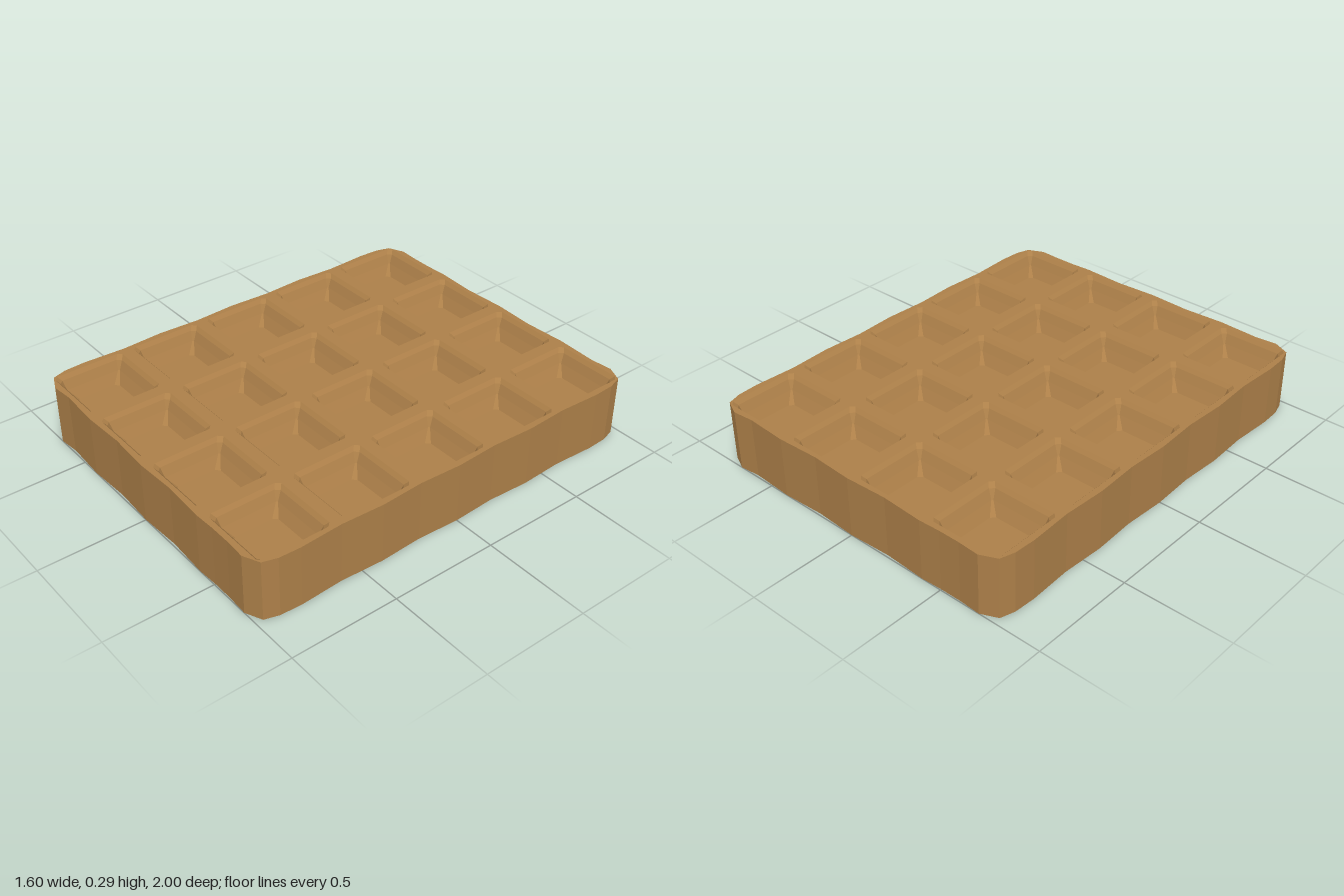
import * as THREE from 'three';
import { mergeGeometries } from 'three/addons/utils/BufferGeometryUtils.js';

const H = 0.286;

// Faceted skin between successive rings of [x, z] points, each ring at its own height
function loft(rings) {
  const pos = [];
  const put = (r, i) => {
    const p = r.pts[i % r.pts.length];
    pos.push(p.x, r.y, -p.y);
  };
  for (let k = 0; k < rings.length - 1; k++) {
    const a = rings[k], b = rings[k + 1];
    for (let i = 0; i < a.pts.length; i++) {
      put(a, i); put(a, i + 1); put(b, i + 1);
      put(a, i); put(b, i + 1); put(b, i);
    }
  }
  const g = new THREE.BufferGeometry();
  g.setAttribute('position', new THREE.Float32BufferAttribute(pos, 3));
  g.computeVertexNormals();
  return g;
}

// Horizontal face looking up
function cap(shape, y) {
  const g = new THREE.ShapeGeometry(shape).toNonIndexed();
  g.deleteAttribute('uv');
  return g.rotateX(-Math.PI / 2).translate(0, y, 0);
}

// Square ring with cut corners
function pocketRing(cx, cz, half, cut) {
  const s = half - cut;
  return [[half, -s], [half, s], [s, half], [-s, half], [-half, s], [-half, -s], [-s, -half], [s, -half]]
    .map(([x, z]) => new THREE.Vector2(cx + x, cz + z));
}

// Gently wavy outline with chamfered corners, counter-clockwise
function outline() {
  const pts = [];
  const add = (x, z) => pts.push(new THREE.Vector2(x, z));
  const wave = (t) => 0.005 * Math.cos(t * Math.PI * 5) - 0.005;
  const side = (n, max, place) => {
    for (let i = 0; i <= n; i++) place(-max + (2 * max * i) / n);
  };
  side(18, 0.9, (t) => add(0.8 + wave(t), t));
  add(0.775, 0.966);
  side(14, 0.7, (t) => add(-t, 1 + wave(t + 0.1 * Math.sign(t) * (Math.abs(t) > 0.6 ? 1 : 0))));
  add(-0.775, 0.966);
  side(18, 0.9, (t) => add(-0.8 - wave(t), -t));
  add(-0.775, -0.966);
  side(14, 0.7, (t) => add(t, -1 - wave(t + 0.1 * Math.sign(t) * (Math.abs(t) > 0.6 ? 1 : 0))));
  add(0.775, -0.966);
  return pts;
}

export function createModel() {
  const model = new THREE.Group();
  model.name = 'waffle';
  const crust = new THREE.MeshStandardMaterial({ color: 0xad8049 });
  crust.name = 'golden crust';

  const rim = outline();
  const edge = new THREE.Mesh(loft([{ pts: rim, y: 0 }, { pts: rim, y: H }]), crust);
  edge.name = 'outerEdge';
  model.add(edge);

  // Pocket section: half width, corner cut, depth
  const section = [[0.17, 0.018, 0], [0.155, 0.018, 0.018], [0.135, 0.006, 0.06], [0.107, 0.018, 0.11]];
  const face = new THREE.Shape(rim);
  const pockets = [];
  for (let i = 0; i < 4; i++) {
    for (let j = 0; j < 5; j++) {
      const cx = -0.6 + i * 0.4, cz = -0.8 + j * 0.4;
      const rings = section.map(([half, cut, depth]) => ({
        pts: pocketRing(cx, cz, half, cut), y: H / 2 - depth,
      }));
      face.holes.push(new THREE.Path(rings[0].pts));
      const floor = rings[rings.length - 1];
      pockets.push(loft(rings), cap(new THREE.Shape(floor.pts), floor.y));
    }
  }
  const gridGeometry = cap(face, H / 2);
  const pocketGeometry = mergeGeometries(pockets);

  // The same ribbed face on the top and, turned over, on the underside
  for (const [name, turn] of [['topFace', 0], ['underFace', Math.PI]]) {
    const half = new THREE.Group();
    half.name = name;
    const ribs = new THREE.Mesh(gridGeometry, crust);
    ribs.name = 'ribGrid';
    const wells = new THREE.Mesh(pocketGeometry, crust);
    wells.name = 'pockets';
    half.add(ribs, wells);
    half.position.y = H / 2;
    half.rotation.x = turn;
    model.add(half);
  }
  return model;
}
